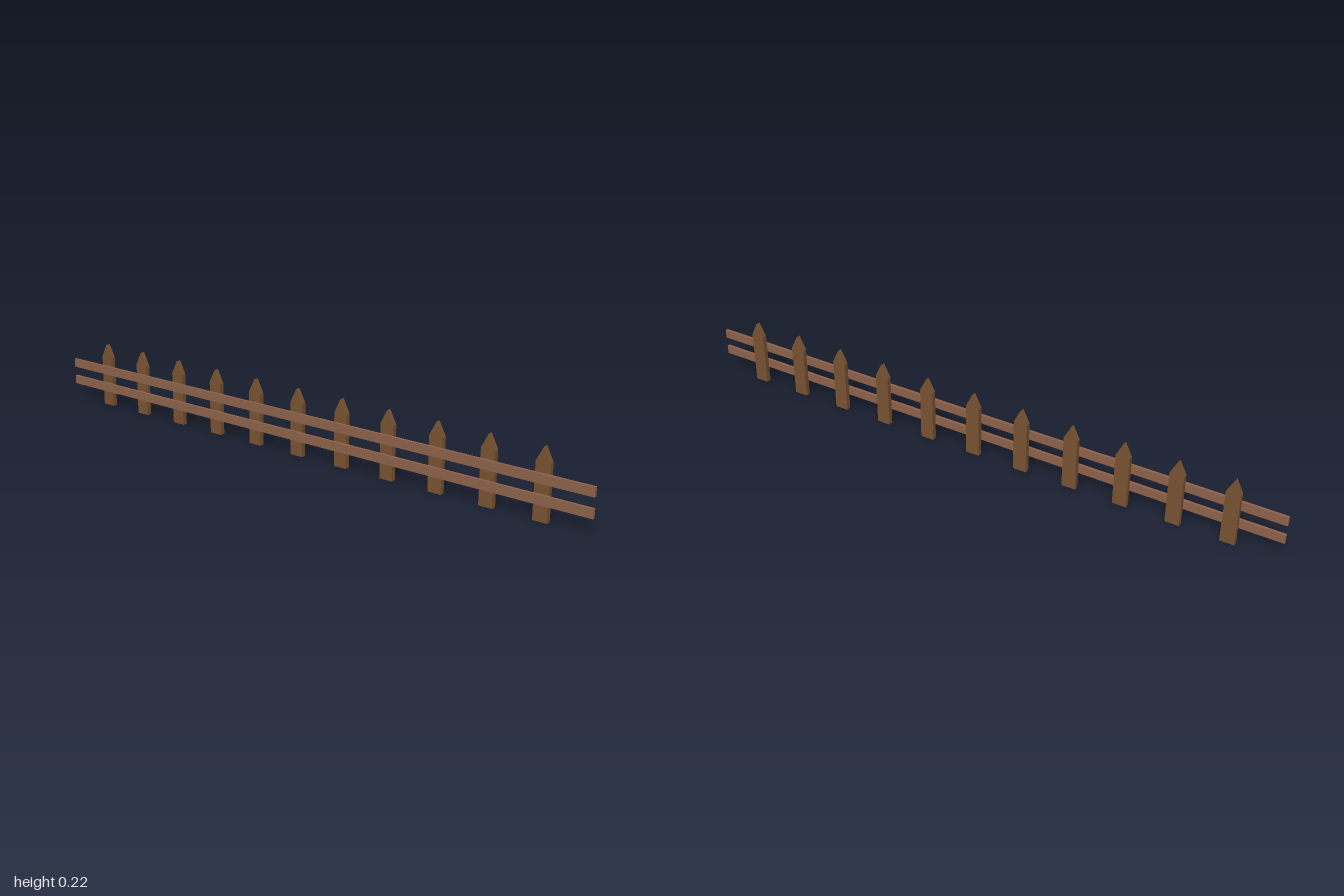
import * as THREE from 'three';

const PICKETS = 11, SPACING = 0.1685;
const HALF_WIDTH = 0.0225, SHOULDER = 0.172, PEAK = 0.216;
const PICKET_BACK = -0.004, PICKET_DEPTH = 0.016;
const RAIL_DEPTH = 0.009, RAIL_HEIGHT = 0.029;

export function createModel() {
  const fence = new THREE.Group();
  fence.name = 'picketFence';
  const picketWood = new THREE.MeshStandardMaterial({ color: 0x785231, flatShading: true });
  const railWood = new THREE.MeshStandardMaterial({ color: 0x8c614a, flatShading: true });

  // Pointed picket outline, extruded and turned so its thickness runs along x
  const outline = new THREE.Shape([
    new THREE.Vector2(-HALF_WIDTH, 0),
    new THREE.Vector2(HALF_WIDTH, 0),
    new THREE.Vector2(HALF_WIDTH, SHOULDER),
    new THREE.Vector2(0, PEAK),
    new THREE.Vector2(-HALF_WIDTH, SHOULDER),
  ]);
  const picketGeometry = new THREE.ExtrudeGeometry(outline, { depth: PICKET_DEPTH, bevelEnabled: false });
  picketGeometry.rotateY(Math.PI / 2);

  // Row of evenly spaced pickets
  for (let i = 0; i < PICKETS; i++) {
    const picket = new THREE.Mesh(picketGeometry, picketWood);
    picket.name = `picket${i + 1}`;
    picket.position.set(PICKET_BACK, 0, (i - (PICKETS - 1) / 2) * SPACING);
    fence.add(picket);
  }

  // Two long rails behind the pickets
  const railGeometry = new THREE.BoxGeometry(RAIL_DEPTH, RAIL_HEIGHT, 2);
  for (const [name, y] of [['lowerRail', 0.066], ['upperRail', 0.127]]) {
    const rail = new THREE.Mesh(railGeometry, railWood);
    rail.name = name;
    rail.position.set(PICKET_BACK - RAIL_DEPTH / 2, y, 0);
    fence.add(rail);
  }
  return fence;
}
